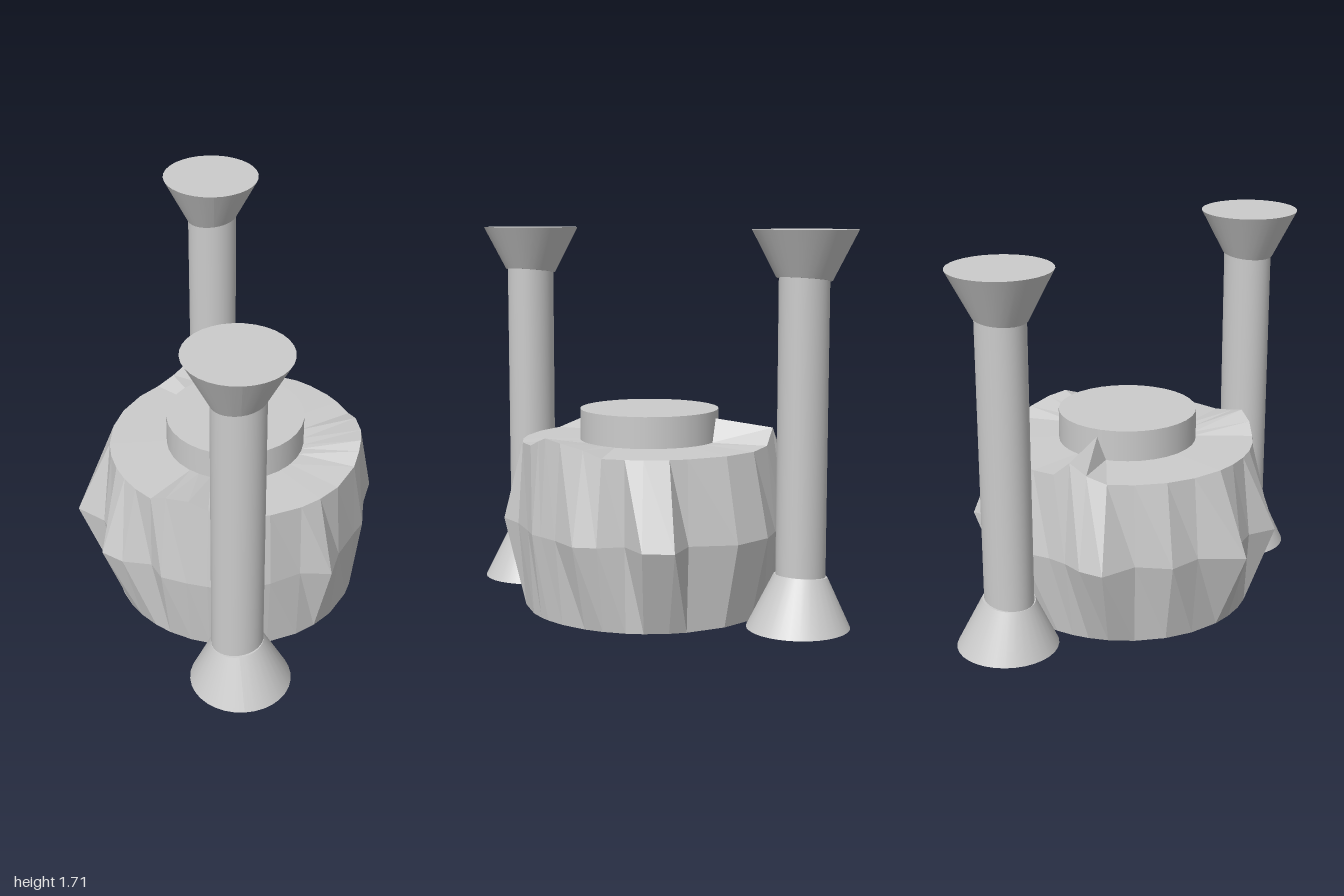
import * as THREE from 'three';

const CX = 0.04, CZ = 0.01;

// Bulging waist outline, clockwise from above: [x, z, height of the rim above it]
const WAIST = [
  [0.70, -0.09, 0.78], [0.65, 0.05, 0.80], [0.63, 0.15, 0.81], [0.62, 0.21, 0.79],
  [0.57, 0.28, 0.76], [0.48, 0.42, 0.75], [0.43, 0.555, 0.75], [0.29, 0.54, 0.75],
  [0.15, 0.60, 0.75], [0, 0.635, 0.75], [-0.13, 0.60, 0.78], [-0.22, 0.57, 0.81],
  [-0.33, 0.52, 0.79], [-0.37, 0.43, 0.75], [-0.50, 0.40, 0.75], [-0.59, 0.33, 0.75],
  [-0.545, 0.2, 0.75], [-0.58, 0.1, 0.75], [-0.70, 0, 0.75], [-0.55, -0.15, 0.75],
  [-0.54, -0.30, 0.75], [-0.41, -0.40, 0.75], [-0.38, -0.57, 0.75], [-0.27, -0.60, 0.78],
  [-0.17, -0.59, 0.83], [-0.08, -0.60, 0.76], [0.05, -0.645, 0.75], [0.24, -0.62, 0.75],
  [0.39, -0.47, 0.75], [0.54, -0.51, 0.75], [0.62, -0.40, 0.75], [0.56, -0.26, 0.75],
  [0.65, -0.18, 0.75],
];

// Stacked rings: base centre, base, waist, rim, shoulder, top centre
function bodyGeometry() {
  const n = WAIST.length, pos = [], index = [];
  const onCircle = (x, z, r, y) => {
    const a = Math.atan2(z - CZ, x - CX);
    pos.push(CX + r * Math.cos(a), y, CZ + r * Math.sin(a));
  };
  for (const [x, z] of WAIST) onCircle(x, z, 0, 0);
  for (const [x, z] of WAIST) onCircle(x, z, 0.57, 0);
  for (const [x, z] of WAIST) pos.push(x, 0.38, z);
  for (const [x, z, h] of WAIST) onCircle(x, z, 0.577, h);
  for (const [x, z, h] of WAIST) onCircle(x, z, 0.31, h > 0.82 ? 0.86 : 0.755);
  for (const [x, z] of WAIST) onCircle(x, z, 0, 0.755);
  for (let r = 0; r < 5; r++) {
    for (let i = 0; i < n; i++) {
      const a = r * n + i, b = r * n + (i + 1) % n;
      if (r < 4) index.push(a, a + n, b + n);
      if (r > 0) index.push(a, b + n, b);
      if (r === 4) index.push(a, a + n, b + n);
    }
  }
  const g = new THREE.BufferGeometry();
  g.setAttribute('position', new THREE.Float32BufferAttribute(pos, 3));
  g.setIndex(index);
  const flat = g.toNonIndexed();
  flat.computeVertexNormals();
  return flat;
}

// Flared pillar end whose narrow edge is cut on a slant
function flare(top, bottom, y0, y1, narrowAtTop) {
  const g = new THREE.CylinderGeometry(top, bottom, y1 - y0, 32);
  g.translate(0, (y0 + y1) / 2, 0);
  const p = g.attributes.position, mid = (y0 + y1) / 2;
  for (let i = 0; i < p.count; i++) {
    if ((p.getY(i) > mid) === narrowAtTop) p.setY(i, p.getY(i) + 0.11 * p.getX(i));
    else p.setX(i, p.getX(i) + (narrowAtTop ? 0.015 : -0.005));
  }
  g.computeVertexNormals();
  return g;
}

export function createModel() {
  const model = new THREE.Group();
  model.name = 'drumWithPillars';
  const smooth = new THREE.MeshStandardMaterial({ color: 0xcccccc });
  const faceted = new THREE.MeshStandardMaterial({ color: 0xcccccc, flatShading: true });
  const add = (parent, name, geometry, material = smooth) => {
    const mesh = new THREE.Mesh(geometry, material);
    mesh.name = name;
    parent.add(mesh);
    return mesh;
  };

  // Drum body and the round lid on top
  add(model, 'body', bodyGeometry(), faceted);
  add(model, 'lid', new THREE.CylinderGeometry(0.315, 0.315, 0.17, 32)).position.set(CX, 0.81, CZ);

  // Front and back pillars
  for (const [name, z] of [['frontPillar', 0.775], ['backPillar', -0.775]]) {
    const pillar = new THREE.Group();
    pillar.name = name;
    pillar.position.set(-0.01, 0, z);
    const shaft = add(pillar, 'shaft', new THREE.CylinderGeometry(0.105, 0.105, 1.4, 32));
    shaft.position.y = 0.86;
    shaft.scale.x = 1.09;
    add(pillar, 'foot', flare(0.116, 0.225, 0, 0.225, true));
    add(pillar, 'capital', flare(0.225, 0.118, 1.497, 1.705, false));
    model.add(pillar);
  }
  return model;
}
